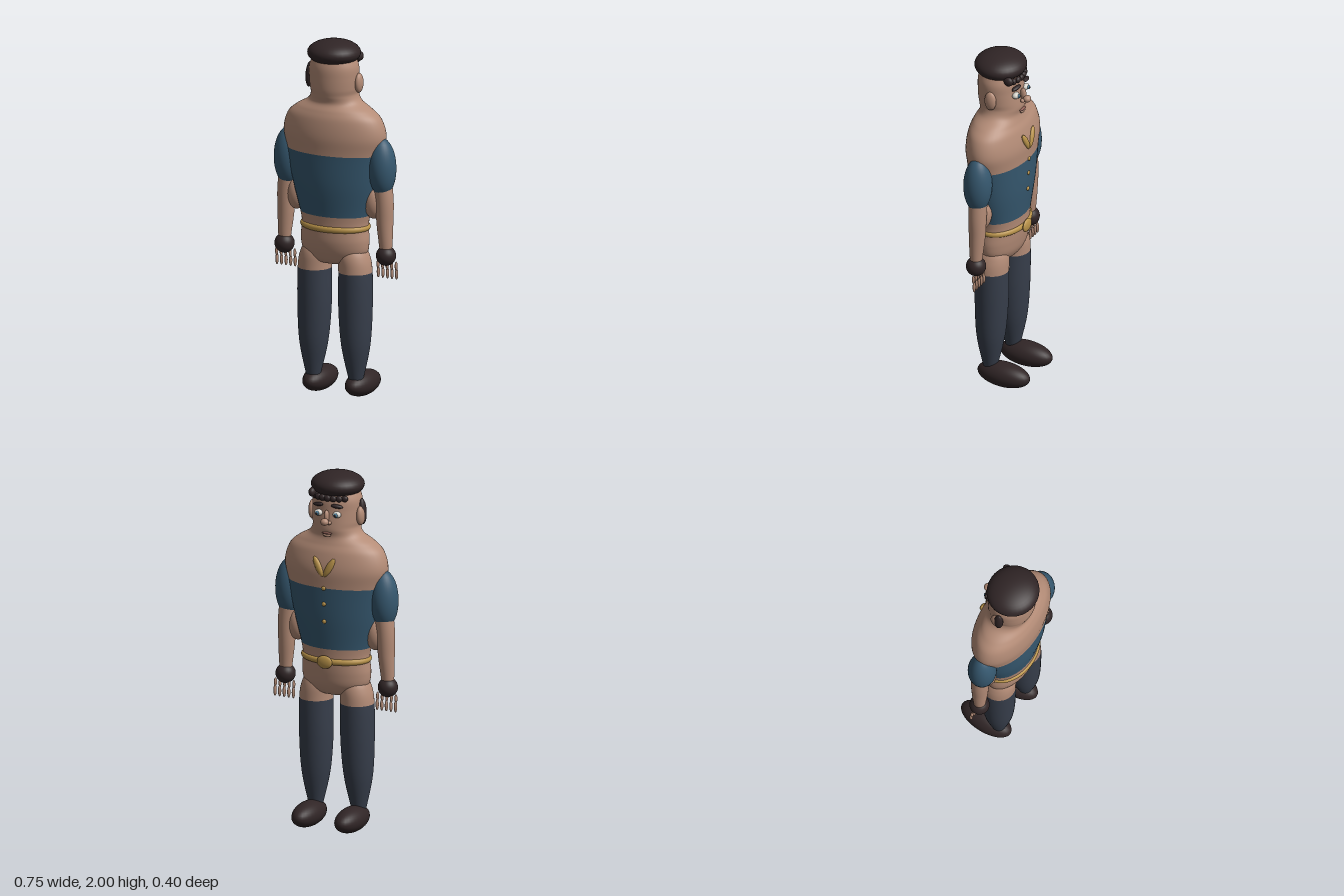
import * as THREE from 'three';

const paint = (name, color) => Object.assign(new THREE.MeshStandardMaterial({ color }), { name });

export function createModel() {
  const skin = paint('skin', 0xb48c77);
  const shirt = paint('shirt blue', 0x36586f);
  const trousers = paint('trouser slate', 0x373e4b);
  const dark = paint('dark brown', 0x302526);
  const gold = paint('gold', 0xb9934a);
  const white = paint('eye white', 0xd8d4cc);
  const blue = paint('iris blue', 0x3f7390);
  const lip = paint('lip', 0x8d5f55);

  const model = new THREE.Group();
  model.name = 'figure';

  function add(name, geometry, material, parent = model) {
    const mesh = new THREE.Mesh(geometry, material);
    mesh.name = name;
    parent.add(mesh);
    return mesh;
  }

  const ball = new THREE.SphereGeometry(1, 32, 20);
  function blob(name, material, pos, size, rot = [0, 0, 0], parent = model) {
    const mesh = add(name, ball, material, parent);
    mesh.position.set(...pos);
    mesh.scale.set(...size);
    mesh.rotation.set(...rot);
    return mesh;
  }

  // Smooth skin through elliptical sections, listed top to bottom:
  // [y, centre x, radius x, front z, back z, material of the span below]
  function loft(name, rows, materials) {
    const steps = 8, sides = 48, pos = [], idx = [];
    const geo = new THREE.BufferGeometry();
    const last = rows.length - 1;
    const spline = (k, i, t) => {
      const [a, b, c, d] = [-1, 0, 1, 2].map((o) => rows[Math.min(last, Math.max(0, i + o))][k]);
      return b + 0.5 * t * (c - a + t * (2 * a - 5 * b + 4 * c - d + t * (3 * (b - c) + d - a)));
    };
    for (let r = 0; r <= last * steps; r++) {
      const i = Math.min(last - 1, Math.floor(r / steps)), t = r / steps - i;
      const [y, cx, rx, front, back] = [0, 1, 2, 3, 4].map((k) => spline(k, i, t));
      for (let j = 0; j < sides; j++) {
        const a = (j / sides) * Math.PI * 2;
        pos.push(cx + rx * Math.cos(a), y, (front + back) / 2 + ((back - front) / 2) * Math.sin(a));
      }
    }
    for (let r = 0; r < last * steps; r++) {
      for (let j = 0; j < sides; j++) {
        const a = r * sides + j, b = r * sides + ((j + 1) % sides);
        idx.push(a, b, a + sides, b, b + sides, a + sides);
      }
    }
    for (let i = 0; i < last; i++) {
      const count = steps * sides * 6;
      geo.addGroup(i * count, count, rows[i][5] || 0);
    }
    geo.setAttribute('position', new THREE.Float32BufferAttribute(pos, 3));
    geo.setIndex(idx);
    geo.computeVertexNormals();
    return add(name, geo, materials);
  }

  // Head, neck, torso and pelvis, with the shirt as a colour band
  loft('body', [
    [1.92, 0, 0.115, -0.06, 0.15],
    [1.86, 0, 0.138, -0.076, 0.165],
    [1.80, 0, 0.14, -0.08, 0.167],
    [1.74, 0, 0.137, -0.086, 0.165],
    [1.70, 0, 0.134, -0.088, 0.158],
    [1.66, 0, 0.158, -0.082, 0.15],
    [1.62, 0, 0.225, -0.092, 0.17],
    [1.57, 0, 0.278, -0.112, 0.187],
    [1.48, 0, 0.303, -0.13, 0.197],
    [1.38, 0, 0.283, -0.127, 0.192, 1],
    [1.20, 0, 0.248, -0.12, 0.186, 1],
    [1.03, 0, 0.203, -0.103, 0.165],
    [0.96, 0, 0.194, -0.098, 0.16],
    [0.88, 0, 0.2, -0.09, 0.157],
    [0.81, 0, 0.185, -0.075, 0.14],
    [0.76, 0, 0.12, -0.04, 0.11],
    [0.74, 0, 0.001, 0.034, 0.036],
  ], [skin, shirt]);

  for (const s of [-1, 1]) {
    const side = s > 0 ? 'left' : 'right';

    // Legs and shoes
    loft(side + 'Leg', [
      [0.86, s * 0.11, 0.06, -0.03, 0.10],
      [0.80, s * 0.115, 0.086, -0.055, 0.125],
      [0.71, s * 0.124, 0.093, -0.06, 0.129, 1],
      [0.50, s * 0.125, 0.094, -0.056, 0.127, 1],
      [0.30, s * 0.128, 0.08, -0.04, 0.117, 1],
      [0.13, s * 0.13, 0.045, -0.005, 0.085, 1],
      [0.08, s * 0.13, 0.03, 0.01, 0.07, 1],
    ], [skin, trousers]);
    blob(side + 'Shoe', dark, [s * 0.13, 0.07, -0.042], [0.075, 0.069, 0.157]);

    // Arms, armpit and sleeve
    loft(side + 'Arm', [
      [1.38, s * 0.27, 0.05, -0.02, 0.08],
      [1.15, s * 0.297, 0.051, -0.02, 0.08],
      [1.00, s * 0.302, 0.046, -0.014, 0.075],
      [0.88, s * 0.308, 0.037, -0.002, 0.068],
      [0.82, s * 0.308, 0.03, 0.005, 0.06],
    ], [skin]);
    blob(side + 'Armpit', skin, [s * 0.235, 1.11, 0.033], [0.055, 0.09, 0.05]);
    blob(side + 'Sleeve', shirt, [s * 0.286, 1.315, 0.035], [0.079, 0.163, 0.079], [0, 0, s * 0.03]);

    // Glove and fingers
    blob(side + 'Glove', dark, [s * 0.31, 0.82, 0.033], [0.055, 0.055, 0.055]);
    for (let i = 0; i < 5; i++) {
      const x = s * (0.254 + i * 0.0278);
      blob(side + 'FingerBase', skin, [x, 0.765, 0.02], [0.008, 0.025, 0.009]);
      blob(side + 'FingerTip', skin, [x, 0.72, 0.015], [0.009, 0.032, 0.009]);
    }

    // Ears, eyes and brows
    blob(side + 'Ear', skin, [s * 0.145, 1.77, 0.033], [0.022, 0.055, 0.034]);
    blob(side + 'Eye', white, [s * 0.056, 1.79, -0.077], [0.024, 0.018, 0.02]);
    blob(side + 'Iris', blue, [s * 0.056, 1.79, -0.094], [0.011, 0.012, 0.009]);
    blob(side + 'Pupil', dark, [s * 0.056, 1.79, -0.101], [0.006, 0.006, 0.004]);
    blob(side + 'Brow', dark, [s * 0.057, 1.838, -0.08], [0.034, 0.011, 0.014], [0, s * -0.25, s * -0.12]);
    blob(side + 'Nostril', skin, [s * 0.018, 1.745, -0.098], [0.013, 0.011, 0.013]);

    // Leaf-shaped collar tips
    blob(side + 'CollarLeaf', gold, [s * 0.033, 1.5, -0.126], [0.019, 0.06, 0.014], [0.1, 0, s * -0.5]);
  }

  // Nose and mouth
  blob('noseBridge', skin, [0, 1.778, -0.092], [0.014, 0.035, 0.018]);
  blob('noseTip', skin, [0, 1.752, -0.116], [0.023, 0.02, 0.022]);
  blob('upperLip', lip, [0, 1.682, -0.088], [0.03, 0.006, 0.012]);
  blob('lowerLip', skin, [0, 1.67, -0.088], [0.024, 0.007, 0.012]);

  // Cap, fringe and side hair
  blob('cap', dark, [0, 1.93, 0.046], [0.148, 0.07, 0.142]);
  for (let i = -3; i <= 3; i++) {
    const a = i * 0.24;
    blob('fringeLock', dark, [0.135 * Math.sin(a), 1.877, 0.04 - 0.121 * Math.cos(a)], [0.02, 0.018, 0.014]);
  }
  blob('templeCurl', dark, [0.103, 1.895, -0.056], [0.02, 0.026, 0.028]);
  blob('sideHair', dark, [-0.148, 1.79, 0.05], [0.021, 0.072, 0.027], [0, 0, -0.07]);

  // Buttons, belt and buckle
  for (const [y, z] of [[1.38, -0.128], [1.29, -0.124], [1.19, -0.12]]) {
    blob('button', gold, [0, y, z], [0.012, 0.012, 0.008]);
  }
  const belt = add('belt', new THREE.TorusGeometry(0.186, 0.017, 14, 64), gold);
  belt.rotation.x = Math.PI / 2;
  belt.scale.set(1, 0.7, 1);
  belt.position.set(0, 0.96, 0.03);
  blob('buckle', gold, [0, 0.96, -0.116], [0.046, 0.037, 0.014]);

  return model;
}
